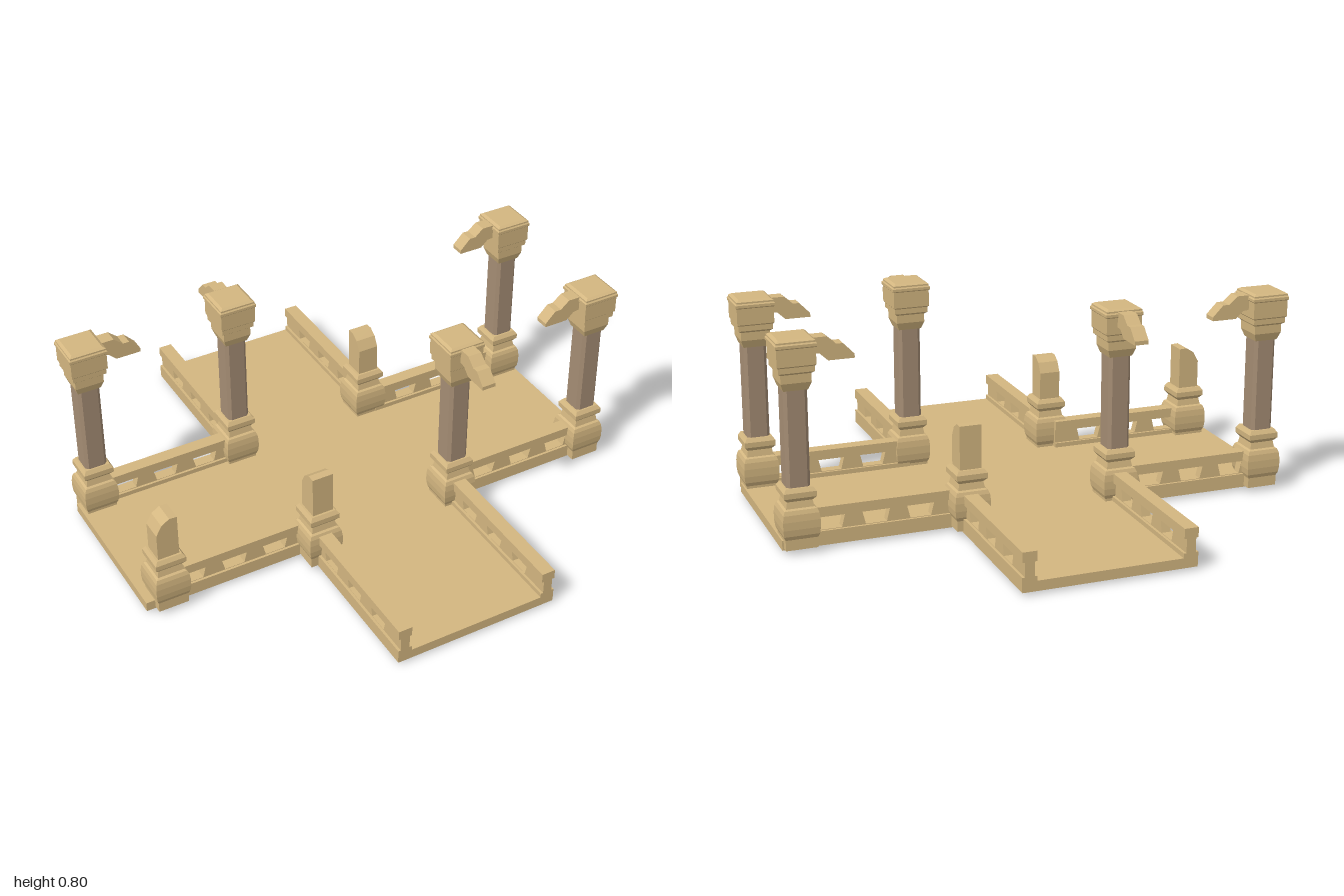
import * as THREE from 'three';

const stone = new THREE.MeshStandardMaterial({ color: 0xd3b680, flatShading: true });
const shaftStone = new THREE.MeshStandardMaterial({ color: 0xa58d74, flatShading: true });

function add(parent, name, geometry, x = 0, y = 0, z = 0, material = stone) {
  const mesh = new THREE.Mesh(geometry, material);
  mesh.name = name;
  mesh.position.set(x, y, z);
  parent.add(mesh);
  return mesh;
}

// Box given by its limits
function slab(parent, name, x0, x1, y0, y1, z0, z1) {
  return add(parent, name, new THREE.BoxGeometry(x1 - x0, y1 - y0, z1 - z0),
    (x0 + x1) / 2, (y0 + y1) / 2, (z0 + z1) / 2);
}

// Square moulding from [half width, height] pairs
function moulding(profile) {
  const points = profile.map(([w, y]) => new THREE.Vector2(w * Math.SQRT2, y));
  const g = new THREE.LatheGeometry(points, 4, Math.PI / 4).toNonIndexed();
  g.computeVertexNormals();
  return g;
}

function shapeOf(points) {
  return new THREE.Shape(points.map(([x, y]) => new THREE.Vector2(x, y)));
}

function extrude(shape, depth) {
  const g = new THREE.ExtrudeGeometry(shape, { depth, bevelEnabled: false });
  g.translate(0, 0, -depth / 2);
  return g;
}

const pedestalGeo = moulding([[0, 0.02], [0.06, 0.02], [0.06, 0.06], [0.066, 0.075], [0.069, 0.1],
  [0.069, 0.13], [0.066, 0.155], [0.06, 0.17], [0.052, 0.175], [0.047, 0.2], [0.06, 0.215],
  [0.06, 0.235], [0.05, 0.25], [0, 0.25]]);

const capitalGeo = moulding([[0, 0.61], [0.045, 0.61], [0.056, 0.64], [0.056, 0.672], [0.066, 0.68],
  [0.066, 0.7], [0.071, 0.705], [0.071, 0.768], [0.075, 0.772], [0.075, 0.782], [0.071, 0.787],
  [0.071, 0.793], [0.06, 0.8], [0, 0.8]]);

// Stepped broken arch stub, pointing along +x
const bracketGeo = extrude(shapeOf([[0.05, 0.735], [0.095, 0.73], [0.125, 0.702], [0.222, 0.702],
  [0.222, 0.717], [0.18, 0.76], [0.155, 0.76], [0.12, 0.79], [0.05, 0.79]]), 0.055);

// Square shaft with chamfered corners
function shaftGeometry() {
  const a = 0.044, b = 0.032;
  const g = extrude(shapeOf([[a, -b], [a, b], [b, a], [-b, a], [-a, b], [-a, -b], [-b, -a], [b, -a]]), 0.37);
  g.rotateX(-Math.PI / 2);
  return g;
}
const shaftGeo = shaftGeometry();

// Snapped-off shaft, its top falling towards -x
const stumpGeo = extrude(shapeOf([[-0.042, 0.24], [0.042, 0.24], [0.042, 0.418], [0.012, 0.42],
  [-0.02, 0.4], [-0.042, 0.36]]), 0.084);

function column(parent, x, z, turn) {
  const g = new THREE.Group();
  g.name = 'column';
  g.position.set(x, 0, z);
  g.rotation.y = turn;
  add(g, 'pedestal', pedestalGeo);
  add(g, 'shaft', shaftGeo, 0, 0.43, 0, shaftStone);
  add(g, 'capital', capitalGeo);
  add(g, 'archBracket', bracketGeo);
  parent.add(g);
}

function brokenColumn(parent, x, z, turn) {
  const g = new THREE.Group();
  g.name = 'brokenColumn';
  g.position.set(x, 0, z);
  g.rotation.y = turn;
  add(g, 'pedestal', pedestalGeo);
  add(g, 'stump', stumpGeo);
  parent.add(g);
}

// Pierced parapet: kerb, open baluster panel and handrail, running along local x
function railing(parent, x, z, turn, length) {
  const g = new THREE.Group();
  g.name = 'railing';
  g.position.set(x, 0, z);
  g.rotation.y = turn;
  const h = length / 2, pitch = 0.17;
  const panel = shapeOf([[-h, 0.065], [h, 0.065], [h, 0.13], [-h, 0.13]]);
  const count = Math.floor((length - 0.04) / pitch);
  for (let i = 0; i < count; i++) {
    const c = (i - (count - 1) / 2) * pitch;
    panel.holes.push(new THREE.Path([[-0.04, 0.07], [-0.052, 0.118], [0.052, 0.118], [0.04, 0.07]]
      .map(([u, v]) => new THREE.Vector2(c + u, v))));
  }
  slab(g, 'kerb', -h, h, 0.018, 0.068, -0.028, 0.028);
  add(g, 'balusters', extrude(panel, 0.036));
  slab(g, 'handrail', -h, h, 0.122, 0.16, -0.027, 0.027);
  parent.add(g);
}

export function createModel() {
  const model = new THREE.Group();
  model.name = 'ruinedCrossing';

  // Cross-shaped floor
  slab(model, 'centreFloor', -0.31, 0.3, 0, 0.05, -0.32, 0.31);
  slab(model, 'leftWingFloor', 0.3, 0.99, 0.012, 0.05, -0.34, 0.31);
  slab(model, 'rightWingFloor', -1, -0.31, 0.012, 0.05, -0.34, 0.31);
  slab(model, 'frontWingFloor', -0.335, 0.325, 0.012, 0.05, 0.31, 0.99);
  slab(model, 'backWingFloor', -0.335, 0.325, 0.012, 0.05, -1, -0.32);

  // Parapets: four along x, four along z
  for (const side of [-1, 1]) {
    railing(model, side * 0.635, -0.316, 0, 0.64);
    railing(model, side * 0.635, 0.286, 0, 0.64);
    const x = side < 0 ? -0.308 : 0.298;
    railing(model, x, 0.66, Math.PI / 2, 0.66);
    railing(model, x, -0.67, Math.PI / 2, 0.66);
  }

  // Standing columns, the bracket turned along each parapet
  const q = Math.PI / 2;
  for (const [x, z, turn] of [[-0.925, -0.32, 0], [-0.312, -0.328, q], [0.924, -0.31, 2 * q],
    [0.3, 0.32, -q], [0.924, 0.29, 2 * q]]) column(model, x, z, turn);

  // Snapped columns
  for (const [x, z, turn] of [[-0.905, 0.284, 0], [-0.305, 0.345, -q], [0.29, -0.35, q]])
    brokenColumn(model, x, z, turn);

  return model;
}
